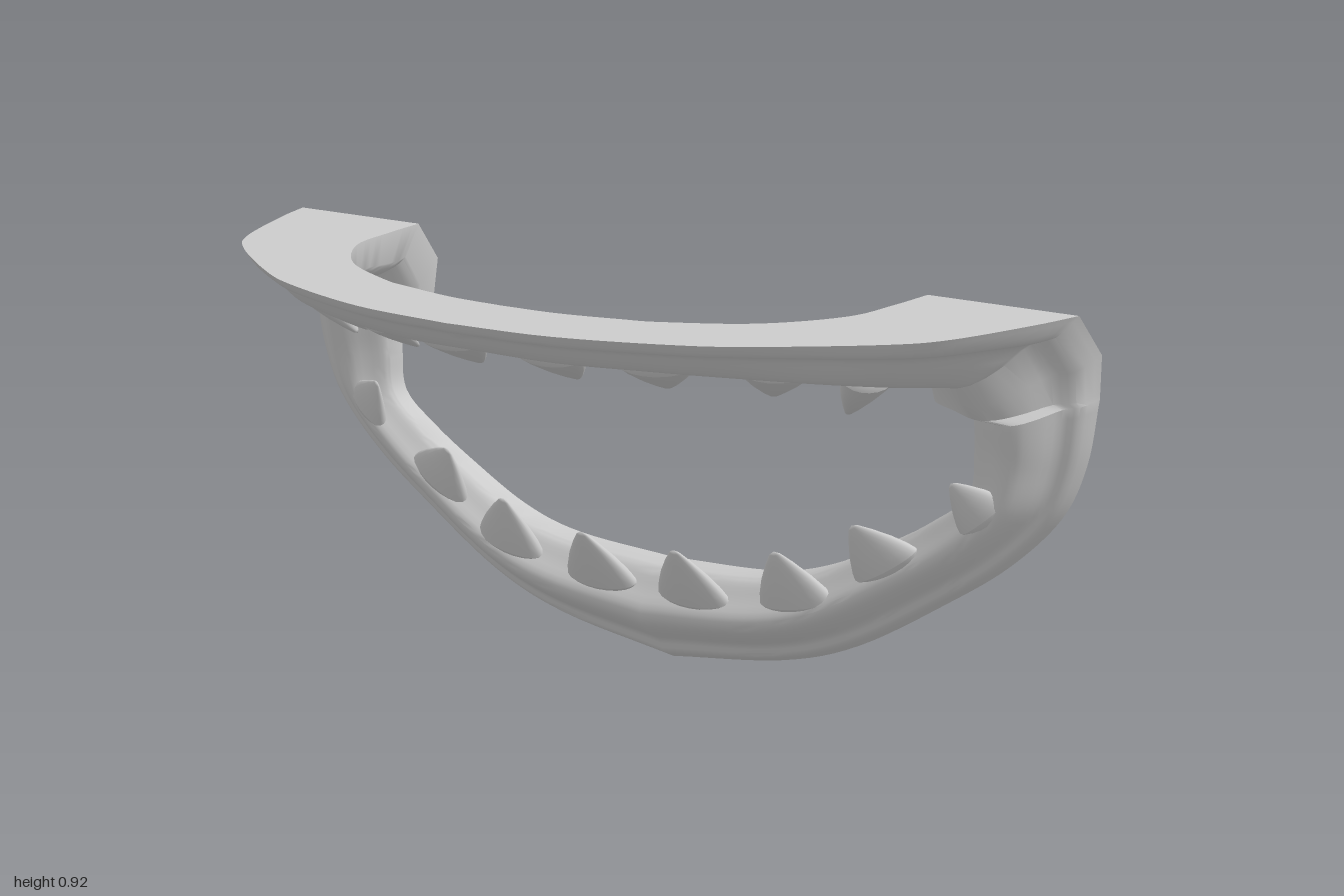
import * as THREE from 'three';
import { toCreasedNormals } from 'three/addons/utils/BufferGeometryUtils.js';

const V = (x, y, z) => new THREE.Vector3(x, y, z);
const BACK = -0.415, TOP = 0.92;

// Gum cross-section: u runs from outer to inner edge, v is the share of the height
const PROFILE = [
  ...new THREE.SplineCurve([
    [0, 0], [0.1, 0.3], [0.23, 0.4], [0.36, 0.72], [0.5, 0.97],
    [0.64, 1], [0.8, 0.8], [0.95, 0.62], [1, 0.48],
  ].map(p => new THREE.Vector2(...p))).getPoints(24),
  new THREE.Vector2(1, 0),
];

// Smooth run of stations, each { o: outer edge, i: inner edge, h: (height, tilt in degrees, 0) }
function run(stations, steps) {
  const curve = key => new THREE.CatmullRomCurve3(stations.map(s => s[key]), false, 'catmullrom', 0.5);
  const o = curve('o'), i = curve('i'), h = curve('h');
  return Array.from({ length: steps + 1 }, (_, k) => {
    const t = k / steps;
    return { o: o.getPoint(t), i: i.getPoint(t), h: h.getPoint(t) };
  });
}

// Lower arch lies on the back plane: outer x, y, inner x, y, height, tilt
const lower = ([ox, oy, ix, iy, h, a]) => ({ o: V(ox, oy, BACK), i: V(ix, iy, BACK), h: V(h, a, 0) });
// Upper arch lies on the top plane: outer x, z, inner x, z, height, tilt
const upper = ([ox, oz, ix, iz, h, a]) => ({ o: V(ox, TOP, oz), i: V(ix, TOP, iz), h: V(h, a, 0) });

function section({ o, i, h }) {
  const a = THREE.MathUtils.degToRad(h.y);
  const dir = V(0, -Math.sin(a), Math.cos(a));
  return PROFILE.map(p => o.clone().lerp(i, p.x).addScaledVector(dir, h.x * p.y));
}

function gumGeometry() {
  const lowerRun = run([
    [0, 0.005, 0, 0.235, 0.135, 0],
    [0.28, 0.05, 0.25, 0.25, 0.13, 0],
    [0.47, 0.12, 0.4, 0.29, 0.12, 0],
    [0.68, 0.255, 0.55, 0.37, 0.105, 0],
    [0.82, 0.36, 0.66, 0.44, 0.095, 0],
    [0.93, 0.48, 0.74, 0.51, 0.09, 0],
    [0.98, 0.6, 0.75, 0.61, 0.095, 6],
    [1, 0.74, 0.75, 0.715, 0.12, 18],
  ].map(lower), 42);
  // Step at the hinge, then the chamfered corner
  const hinge = [
    [1, 0.75, 0.66, 0.725, 0.125, 20],
    [1, 0.83, 0.645, 0.83, 0.175, 36],
  ].map(lower);
  const upperRun = run([
    [0.98, -0.345, 0.645, -0.345, 0.175, 54],
    [0.945, -0.22, 0.635, -0.22, 0.145, 78],
    [0.87, -0.02, 0.61, -0.08, 0.12, 90],
    [0.79, 0.085, 0.5, 0.07, 0.1, 90],
    [0.61, 0.23, 0.34, 0.165, 0.085, 90],
    [0.475, 0.31, 0.26, 0.19, 0.08, 90],
    [0.235, 0.39, 0.13, 0.218, 0.078, 90],
    [0, 0.412, 0, 0.225, 0.075, 90],
  ].map(upper), 42);

  // Mirror the half ring to close the loop
  const half = [...lowerRun, ...hinge, ...upperRun].map(section);
  const other = half.slice(1, -1).reverse().map(s => s.map(p => V(-p.x, p.y, p.z)));
  const rings = [...half, ...other];
  const n = PROFILE.length, m = rings.length, index = [];
  for (let r = 0; r < m; r++) {
    for (let j = 0; j < n; j++) {
      const r2 = (r + 1) % m, j2 = (j + 1) % n;
      const a = r * n + j, b = r2 * n + j, c = r2 * n + j2, d = r * n + j2;
      index.push(a, b, c, a, c, d);
    }
  }
  const g = new THREE.BufferGeometry().setFromPoints(rings.flat());
  g.setIndex(index);
  return toCreasedNormals(g, 0.65);
}

// Flattened pointed tooth of unit height
function toothGeometry() {
  const pts = [[0, 0], [0.85, 0], [1, 0.12], [0.9, 0.28], [0.68, 0.52], [0.38, 0.78], [0.15, 0.95], [0, 1]];
  return toCreasedNormals(new THREE.LatheGeometry(pts.map(p => new THREE.Vector2(...p)), 20), 0.8);
}

export function createModel() {
  const model = new THREE.Group();
  const material = new THREE.MeshStandardMaterial({ color: 0xcccccc });
  const add = (name, geometry) => {
    const mesh = new THREE.Mesh(geometry, material);
    mesh.name = name;
    model.add(mesh);
    return mesh;
  };
  add('jawGums', gumGeometry());

  // Place a tooth by base, tip, direction along the arch, width and thickness
  const shape = toothGeometry();
  function tooth(name, base, tip, along, width, thick) {
    for (const side of [1, -1]) {
      const b = V(base[0] * side, base[1], base[2]), t = V(tip[0] * side, tip[1], tip[2]);
      const y = t.clone().sub(b), length = y.length();
      y.normalize();
      const x = V(along[0], along[1] * side, along[2] * side);
      x.addScaledVector(y, -x.dot(y)).normalize();
      const z = x.clone().cross(y);
      const mesh = add(name + (side > 0 ? 'Left' : 'Right'), shape);
      mesh.quaternion.setFromRotationMatrix(new THREE.Matrix4().makeBasis(x, y, z));
      mesh.position.copy(b);
      mesh.scale.set(width / 2, length, thick / 2);
    }
  }

  // Lower teeth, front to back
  [
    [[0.12, 0.18, -0.32], [0.12, 0.32, -0.225], [1, 0, 0], 0.18, 0.065],
    [[0.375, 0.215, -0.325], [0.35, 0.35, -0.255], [1, 0.25, 0], 0.18, 0.065],
    [[0.585, 0.33, -0.335], [0.52, 0.43, -0.28], [1, 0.6, 0], 0.17, 0.06],
    [[0.8, 0.47, -0.345], [0.735, 0.55, -0.3], [0.7, 1, 0], 0.13, 0.05],
  ].forEach((t, k) => tooth('lowerTooth' + (k + 1), ...t));

  // Upper teeth, front to back
  [
    [[0.12, 0.855, 0.25], [0.12, 0.77, 0.135], [1, 0, 0], 0.17, 0.065],
    [[0.345, 0.855, 0.2], [0.31, 0.77, 0.095], [1, 0, -0.4], 0.16, 0.065],
    [[0.56, 0.85, 0.09], [0.505, 0.765, 0.015], [1, 0, -0.8], 0.15, 0.065],
    [[0.69, 0.83, -0.04], [0.615, 0.723, -0.085], [0.4, 0, -1], 0.12, 0.08],
  ].forEach((t, k) => tooth('upperTooth' + (k + 1), ...t));

  return model;
}
